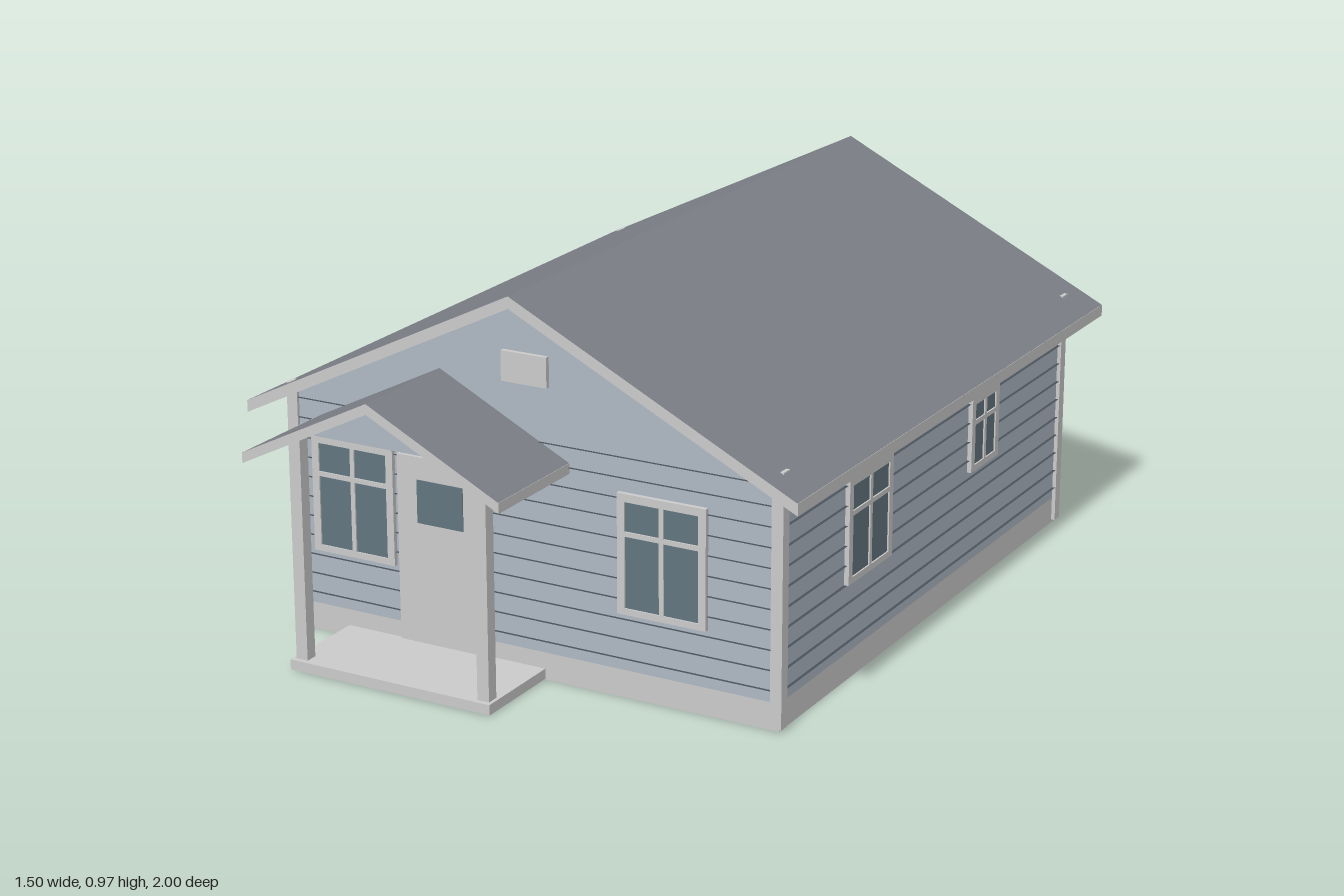
import * as THREE from 'three';

const mat = (color) => new THREE.MeshStandardMaterial({ color, side: THREE.DoubleSide, flatShading: true });
const TRIM = mat(0xcccccc);
const WALL = mat(0xafb9c4);
const ROOF = mat(0x7d8087);
const GLASS = mat(0x637580);
const GROOVE = mat(0x4a525c);

const X = 0.67, HALF_Z = 0.805, MID_Z = -0.115; // wall footprint
const BASE = 0.07, EAVE = 0.605, PEAK = 0.936;

function add(parent, name, geometry, material, x = 0, y = 0, z = 0) {
  const mesh = new THREE.Mesh(geometry, material);
  mesh.name = name;
  mesh.position.set(x, y, z);
  parent.add(mesh);
  return mesh;
}

// Box given by its minimum and maximum corners
function box(parent, name, material, [x0, y0, z0], [x1, y1, z1]) {
  return add(parent, name, new THREE.BoxGeometry(x1 - x0, y1 - y0, z1 - z0), material,
    (x0 + x1) / 2, (y0 + y1) / 2, (z0 + z1) / 2);
}

const polygon = (points) => new THREE.Shape(points.map(([x, y]) => new THREE.Vector2(x, y)));
const rect = (x0, y0, x1, y1) => polygon([[x0, y0], [x1, y0], [x1, y1], [x0, y1]]);

// Four-light window on a wall whose outside is local +z
function windowUnit(parent, u, width, bottom, top) {
  const group = new THREE.Group();
  group.name = 'window';
  const x0 = u - width / 2, x1 = u + width / 2;
  const gx0 = x0 + 0.02, gx1 = x1 - 0.02, gy0 = bottom + 0.016, gy1 = top - 0.02;
  const bar = gy1 - (gy1 - gy0) * 0.3, half = 0.006;
  const frame = rect(x0, bottom, x1, top);
  for (const [a, b] of [[gx0, u - half], [u + half, gx1]]) {
    for (const [c, d] of [[gy0, bar - half], [bar + half, gy1]]) frame.holes.push(rect(a, c, b, d));
  }
  add(group, 'windowFrame', new THREE.ExtrudeGeometry(frame, { depth: 0.012, bevelEnabled: false }), TRIM);
  box(group, 'windowGlass', GLASS, [gx0, gy0, -0.004], [gx1, gy1, 0.008]);
  parent.add(group);
}

// One wall with its base band and horizontal siding laps
function wall(parent, name, half, outline, x, z, turn) {
  const group = new THREE.Group();
  group.name = name;
  group.position.set(x, 0, z);
  group.rotation.y = turn;
  add(group, 'wallPanel', new THREE.ShapeGeometry(polygon(outline)), WALL);
  add(group, 'baseBand', new THREE.ShapeGeometry(rect(-half, 0, half, BASE)), TRIM);
  for (let y = 0.1; y < 0.603; y += 0.05) {
    const lap = add(group, 'sidingLap', new THREE.PlaneGeometry(half * 2, 0.008), GROOVE, 0, y, 0.004);
    lap.rotation.x = -Math.PI / 2;
  }
  parent.add(group);
  return group;
}

// Gabled roof slab with pale gable ends and eave boards
function roof(parent, name, cx, half, peak, eave, thick, z0, z1) {
  const group = new THREE.Group();
  group.name = name;
  const section = polygon([
    [-half, eave], [0, peak], [half, eave],
    [half, eave - thick], [0, peak - thick], [-half, eave - thick],
  ]);
  const slab = new THREE.ExtrudeGeometry(section, { depth: z1 - z0, bevelEnabled: false });
  add(group, 'roofSlab', slab, [TRIM, ROOF], cx, 0, z0);
  for (const s of [-1, 1]) {
    add(group, 'eaveBoard', new THREE.BoxGeometry(0.002, thick, z1 - z0), TRIM,
      cx + s * half, eave - thick / 2, (z0 + z1) / 2);
  }
  parent.add(group);
}

export function createModel() {
  const house = new THREE.Group();
  house.name = 'house';

  // Walls
  const gable = [[-X, BASE], [X, BASE], [X, EAVE], [0, PEAK], [-X, EAVE]];
  const side = [[-HALF_Z, BASE], [HALF_Z, BASE], [HALF_Z, EAVE], [-HALF_Z, EAVE]];
  const front = wall(house, 'frontWall', X, gable, 0, MID_Z + HALF_Z, 0);
  const back = wall(house, 'backWall', X, gable, 0, MID_Z - HALF_Z, Math.PI);
  const plusX = wall(house, 'leftWall', HALF_Z, side, X, MID_Z, Math.PI / 2);
  const minusX = wall(house, 'rightWall', HALF_Z, side, -X, MID_Z, -Math.PI / 2);

  // Windows
  windowUnit(front, -0.492, 0.235, 0.215, 0.515);
  windowUnit(front, 0.366, 0.235, 0.215, 0.515);
  windowUnit(back, 0.265, 0.31, 0.215, 0.515);
  windowUnit(plusX, -0.36, 0.235, 0.25, 0.515);
  windowUnit(plusX, 0.2975, 0.165, 0.318, 0.515);
  windowUnit(minusX, -0.4, 0.235, 0.215, 0.515);
  windowUnit(minusX, 0.36, 0.29, 0.215, 0.515);

  // Door and gable vent
  box(front, 'door', TRIM, [-0.362, 0.03, -0.004], [-0.118, 0.507, 0.011]);
  box(front, 'doorGlass', GLASS, [-0.305, 0.34, 0.005], [-0.175, 0.45, 0.013]);
  box(front, 'gableVent', TRIM, [-0.062, 0.737, 0], [0.062, 0.812, 0.012]);

  // Corner boards, their tips just breaking through the roof
  for (const x of [-0.665, 0.665]) {
    for (const z of [0.683, -0.913]) {
      add(house, 'cornerBoard', new THREE.BoxGeometry(0.03, 0.628, 0.03), TRIM, x, 0.322, z);
    }
  }

  roof(house, 'mainRoof', 0, 0.749, 0.967, 0.597, 0.03, -1, 0.765);

  // Porch
  const porch = new THREE.Group();
  porch.name = 'porch';
  house.add(porch);
  box(porch, 'porchFloor', TRIM, [-0.522, 0.002, 0.69], [0.042, 0.028, 0.94]);
  for (const x of [-0.497, 0.017]) {
    box(porch, 'porchPost', TRIM, [x - 0.016, 0.028, 0.895], [x + 0.016, 0.592, 0.927]);
  }
  add(porch, 'porchGable', new THREE.ShapeGeometry(polygon([[-0.45, 0.605], [-0.03, 0.605], [-0.24, 0.71]])),
    WALL, 0, 0, 0.925);
  roof(porch, 'porchRoof', -0.24, 0.354, 0.737, 0.56, 0.026, 0.69, 1);

  return house;
}
